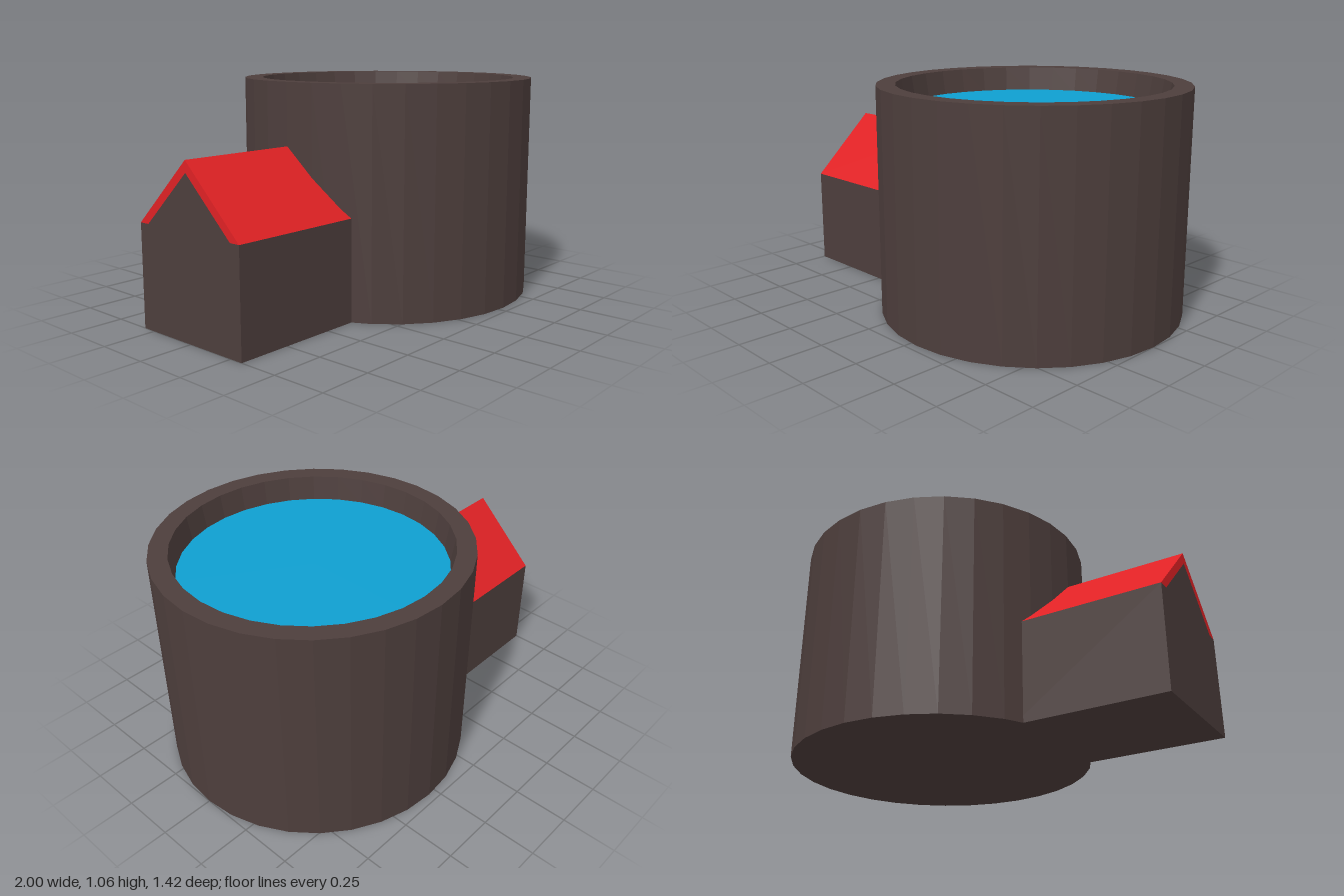
import * as THREE from 'three';

const WALL = 0x4d3e3c, ROOF = 0xdf2124, WATER = 0x0f9fd0;
const TANK_X = 0.288, SIDES = 32;

function part(name, geometry, color) {
  const material = new THREE.MeshStandardMaterial({ color, flatShading: true });
  const mesh = new THREE.Mesh(geometry, material);
  mesh.name = name;
  return mesh;
}

// Cross-section given as [z, y] points, extruded along x from x0 to x1
function alongX(outline, hole, x0, x1) {
  const toPoints = (list) => list.map(([z, y]) => new THREE.Vector2(-z, y));
  const shape = new THREE.Shape(toPoints(outline));
  if (hole) shape.holes.push(new THREE.Path(toPoints(hole)));
  const geometry = new THREE.ExtrudeGeometry(shape, { depth: x1 - x0, bevelEnabled: false });
  return geometry.rotateY(Math.PI / 2).translate(x0, 0, 0);
}

export function createModel() {
  const model = new THREE.Group();
  model.name = 'waterTankWithShed';

  // Round tank with a thick rim and slightly tapered inside
  const profile = [[0, 0], [0.712, 0], [0.712, 1.063], [0.625, 1.063], [0.605, 0.94], [0, 0.94]]
    .map(([r, y]) => new THREE.Vector2(r, y));
  const tank = part('tank', new THREE.LatheGeometry(profile, SIDES), WALL);
  tank.position.x = TANK_X;
  model.add(tank);

  // Water surface
  const water = part('water', new THREE.CircleGeometry(0.606, SIDES).rotateX(-Math.PI / 2), WATER);
  water.position.set(TANK_X, 0.95, 0);
  model.add(water);

  // Shed: walls with gable, under a pitched roof; its inner end sits in the tank wall
  const shed = new THREE.Group();
  shed.name = 'shed';
  const w = 0.315, eave = 0.475, ridge = 0.775, inner = 0.262, gable = 0.722;
  shed.add(part('shedWalls', alongX(
    [[w, 0], [w, eave], [inner, eave], [0, gable], [-inner, eave], [-w, eave], [-w, 0]],
    null, -1, -0.3), WALL));
  shed.add(part('shedRoof', alongX(
    [[w, eave], [0, ridge], [-w, eave], [-inner, eave], [0, gable], [inner, eave]],
    null, -1, -0.3), ROOF));
  model.add(shed);

  return model;
}
